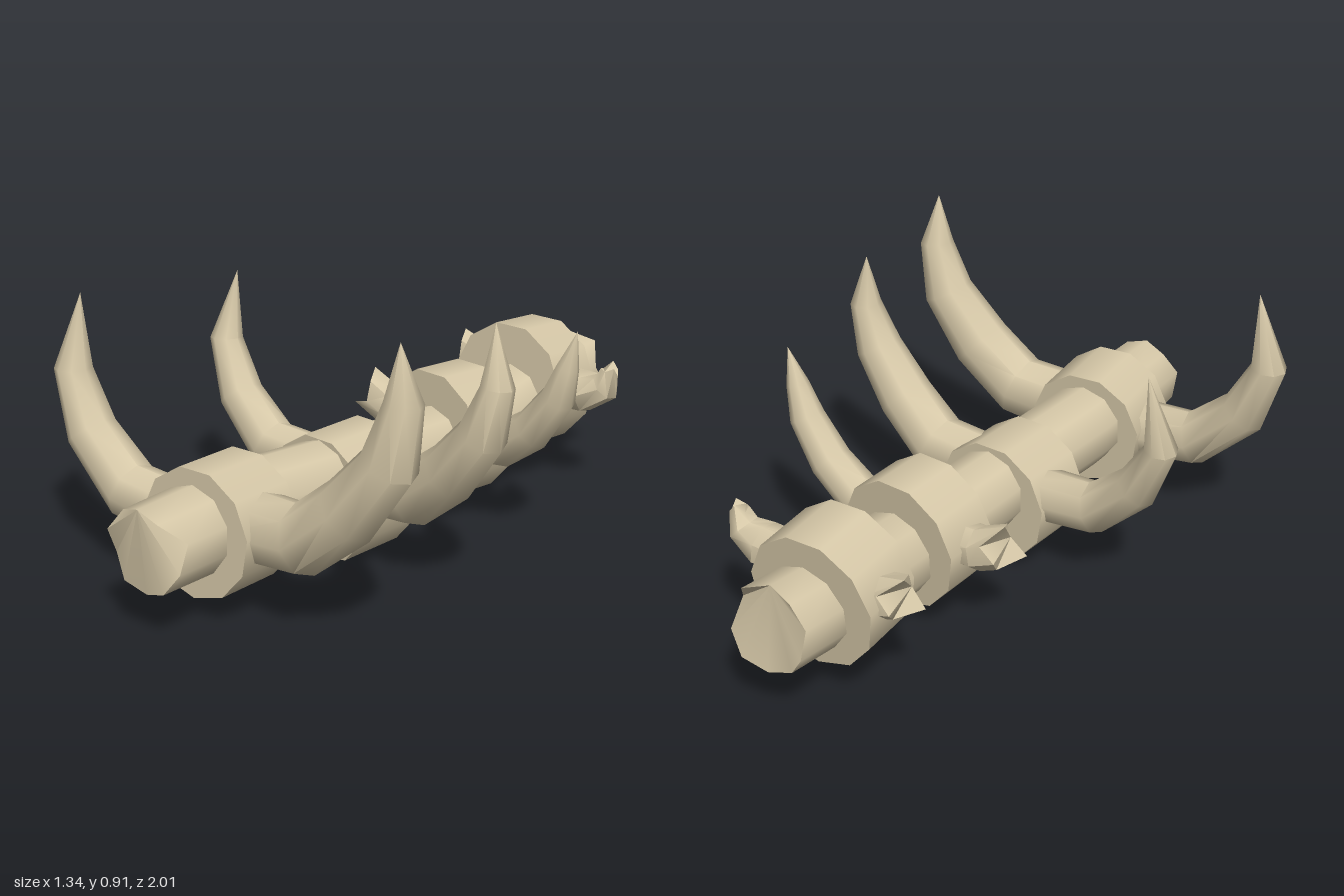
import * as THREE from 'three';
import { toCreasedNormals } from 'three/addons/utils/BufferGeometryUtils.js';

// Swept tube through [x, y, z, radius] sections; jagged arrays shift the end rims along the path.
function sweep(sections, sides, ref, startJag, endJag, crease) {
  const pts = sections.map(s => new THREE.Vector3(s[0], s[1], s[2]));
  const pos = [], idx = [], n = pts.length;
  pts.forEach((p, k) => {
    const t = pts[Math.min(k + 1, n - 1)].clone().sub(pts[Math.max(k - 1, 0)]).normalize();
    const u = ref.clone().addScaledVector(t, -ref.dot(t)).normalize();
    const v = t.clone().cross(u);
    const jag = k === 0 ? startJag : k === n - 1 ? endJag : null;
    for (let i = 0; i < sides; i++) {
      const a = (i / sides) * Math.PI * 2, r = sections[k][3];
      const q = p.clone()
        .addScaledVector(u, Math.cos(a) * r)
        .addScaledVector(v, Math.sin(a) * r)
        .addScaledVector(t, jag ? jag[i % jag.length] : 0);
      pos.push(q.x, q.y, q.z);
    }
  });
  for (let k = 0; k < n - 1; k++) {
    for (let i = 0; i < sides; i++) {
      const j = (i + 1) % sides, a = k * sides, b = a + sides;
      idx.push(a + i, a + j, b + i);
      if (sections[k + 1][3] > 0.001) idx.push(a + j, b + j, b + i);
    }
  }
  // End caps as fans
  const last = (n - 1) * sides;
  for (let i = 1; i < sides - 1; i++) {
    idx.push(0, i + 1, i);
    if (sections[n - 1][3] > 0.001) idx.push(last, last + i, last + i + 1);
  }
  const g = new THREE.BufferGeometry();
  g.setAttribute('position', new THREE.Float32BufferAttribute(pos, 3));
  g.setIndex(idx);
  return toCreasedNormals(g, crease);
}

export function createModel() {
  const model = new THREE.Group();
  const bone = new THREE.MeshStandardMaterial({ color: 0xd6c8a8 });
  bone.name = 'bone';
  const add = (name, geometry) => {
    const mesh = new THREE.Mesh(geometry, bone);
    mesh.name = name;
    model.add(mesh);
    return mesh;
  };
  const Y = new THREE.Vector3(0, 1, 0), Z = new THREE.Vector3(0, 0, 1);

  // Gently winding spinal core with chipped ends
  add('spineCore', sweep([
    [-0.012, 0.3, -1, 0.135], [-0.015, 0.285, -0.8, 0.135], [-0.005, 0.26, -0.6, 0.137],
    [0.015, 0.237, -0.4, 0.135], [0.01, 0.24, -0.2, 0.132], [0, 0.25, 0.05, 0.13],
    [-0.008, 0.26, 0.28, 0.132], [-0.023, 0.27, 0.52, 0.134], [-0.01, 0.27, 0.8, 0.134],
    [0, 0.27, 1, 0.13],
  ], 10, Y,
  [0.03, 0.02, 0.03, 0.01, 0.03, 0.02, 0, 0.01, 0.06, 0],
  [0, -0.02, 0, -0.03, -0.01, -0.02, -0.01, -0.03, -0.065, 0], 0.7));

  // Vertebra drums: centre, radius, length, pitch, yaw
  [
    [-0.015, 0.255, 0.685, 0.195, 0.225, -0.05, 0.1],
    [-0.01, 0.203, 0.175, 0.2, 0.225, 0, -0.02],
    [0.005, 0.27, -0.29, 0.21, 0.19, -0.06, -0.05],
    [-0.022, 0.315, -0.715, 0.212, 0.205, -0.1, 0.04],
  ].forEach(([x, y, z, r, len, pitch, yaw], i) => {
    const drum = add('vertebra' + (i + 1), new THREE.CylinderGeometry(r, r, len, 11).rotateX(Math.PI / 2));
    drum.position.set(x, y, z);
    drum.rotation.set(pitch, yaw, 0);
  });

  // Curved ribs tapering to a point
  const ribs = {
    leftRib1: [[0.05, 0.27, 0.66, 0.11], [0.29, 0.285, 0.655, 0.105], [0.445, 0.41, 0.64, 0.1],
      [0.575, 0.575, 0.625, 0.083], [0.615, 0.75, 0.615, 0.055], [0.608, 0.915, 0.62, 0]],
    rightRib1: [[-0.05, 0.235, 0.7, 0.1], [-0.37, 0.265, 0.71, 0.09], [-0.535, 0.41, 0.715, 0.078],
      [-0.612, 0.59, 0.71, 0.058], [-0.565, 0.83, 0.705, 0]],
    leftRib2: [[0.05, 0.25, 0.175, 0.1], [0.28, 0.27, 0.18, 0.098], [0.43, 0.385, 0.2, 0.09],
      [0.55, 0.53, 0.212, 0.075], [0.595, 0.68, 0.205, 0.05], [0.565, 0.855, 0.18, 0]],
    rightRib2: [[-0.05, 0.235, 0.15, 0.09], [-0.34, 0.255, 0.155, 0.083], [-0.49, 0.385, 0.145, 0.07],
      [-0.578, 0.55, 0.12, 0.052], [-0.53, 0.778, 0.11, 0]],
    leftRib3: [[0.05, 0.275, -0.265, 0.075], [0.25, 0.288, -0.262, 0.073], [0.37, 0.37, -0.255, 0.066],
      [0.465, 0.495, -0.25, 0.055], [0.497, 0.6, -0.25, 0.035], [0.525, 0.716, -0.255, 0]],
  };
  for (const [name, path] of Object.entries(ribs)) add(name, sweep(path, 8, Z, null, null, 0.9));

  // Broken rib stubs with splintered ends
  const splinter = [-0.02, 0.01, 0.05, -0.03, 0, -0.04, 0.04];
  add('leftStub4', sweep([[0.05, 0.335, -0.7, 0.07], [0.24, 0.342, -0.705, 0.07],
    [0.315, 0.375, -0.71, 0.05], [0.33, 0.435, -0.71, 0.03]], 7, Z, null, [0, 0.02, -0.01], 0.9));
  add('rightStub3', sweep([[-0.05, 0.28, -0.28, 0.07], [-0.22, 0.285, -0.285, 0.07],
    [-0.3, 0.32, -0.285, 0.068]], 7, Z, null, splinter, 0.9));
  add('rightStub4', sweep([[-0.05, 0.325, -0.7, 0.07], [-0.2, 0.34, -0.71, 0.07],
    [-0.265, 0.36, -0.715, 0.066]], 7, Z, null, splinter, 0.9));

  return model;
}
